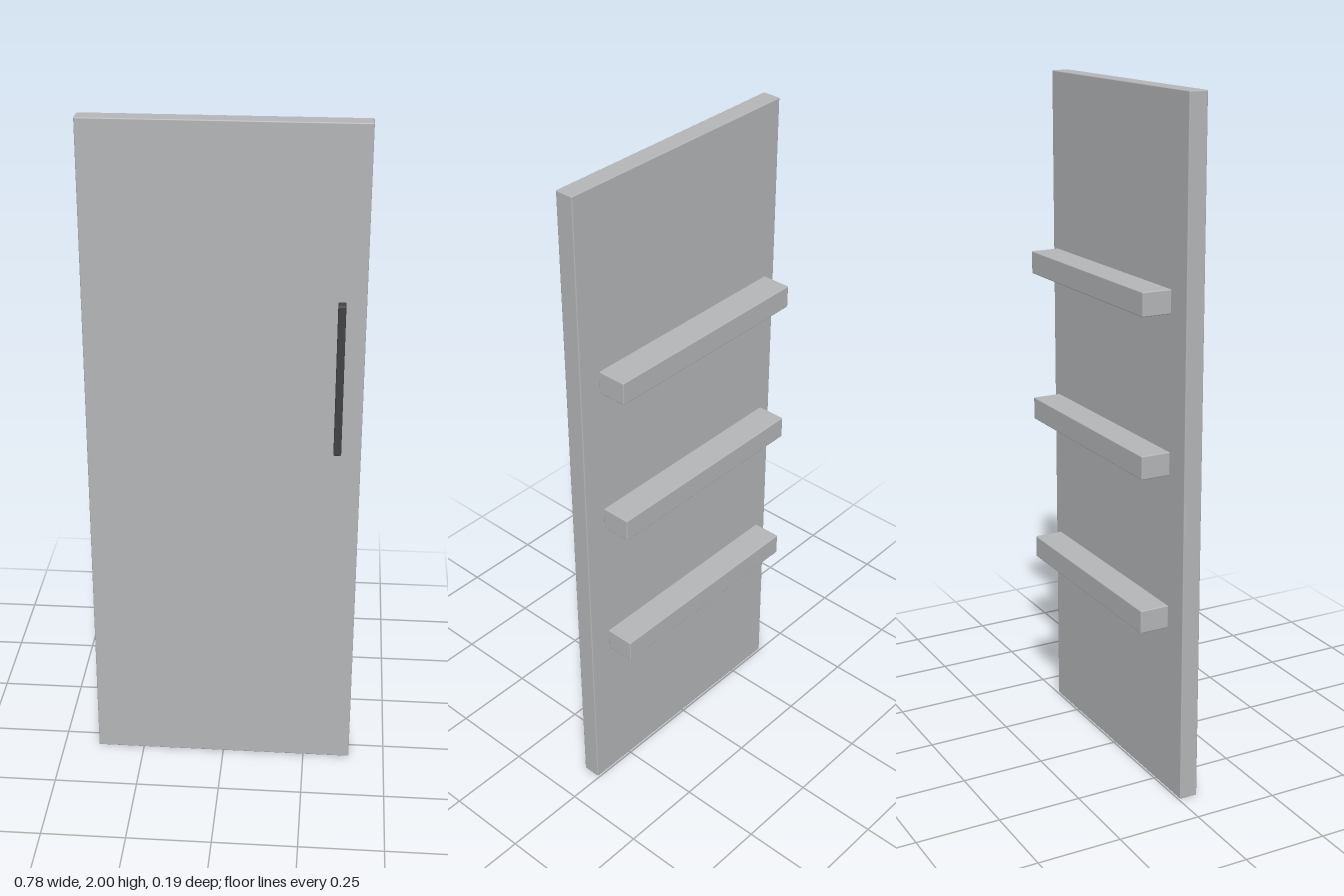
import * as THREE from 'three';
import { RoundedBoxGeometry } from 'three/addons/geometries/RoundedBoxGeometry.js';

export function createModel() {
  const model = new THREE.Group();
  model.name = 'fridgeDoor';

  const panelGrey = new THREE.MeshStandardMaterial({ color: 0xb4b6b8 });
  panelGrey.name = 'panel grey';
  const handleDark = new THREE.MeshStandardMaterial({ color: 0x424246 });
  handleDark.name = 'handle dark grey';

  // Softly bevelled box given by its size and centre
  function addBox(name, [w, h, d], [x, y, z], bevel, material) {
    const mesh = new THREE.Mesh(new RoundedBoxGeometry(w, h, d, 2, bevel), material);
    mesh.name = name;
    mesh.position.set(x, y, z);
    model.add(mesh);
  }

  // Door slab
  addBox('doorPanel', [0.784, 2, 0.055], [0, 1, 0.0325], 0.003, panelGrey);

  // Upright handle near the left edge of the front
  addBox('handle', [0.022, 0.45, 0.034], [0.325, 1.284, 0.077], 0.004, handleDark);

  // Three shelves standing just clear of the back
  [0.55, 1.0, 1.45].forEach((y, i) => {
    addBox(`shelf${i + 1}`, [0.672, 0.067, 0.088], [0, y, -0.052], 0.003, panelGrey);
  });

  return model;
}
